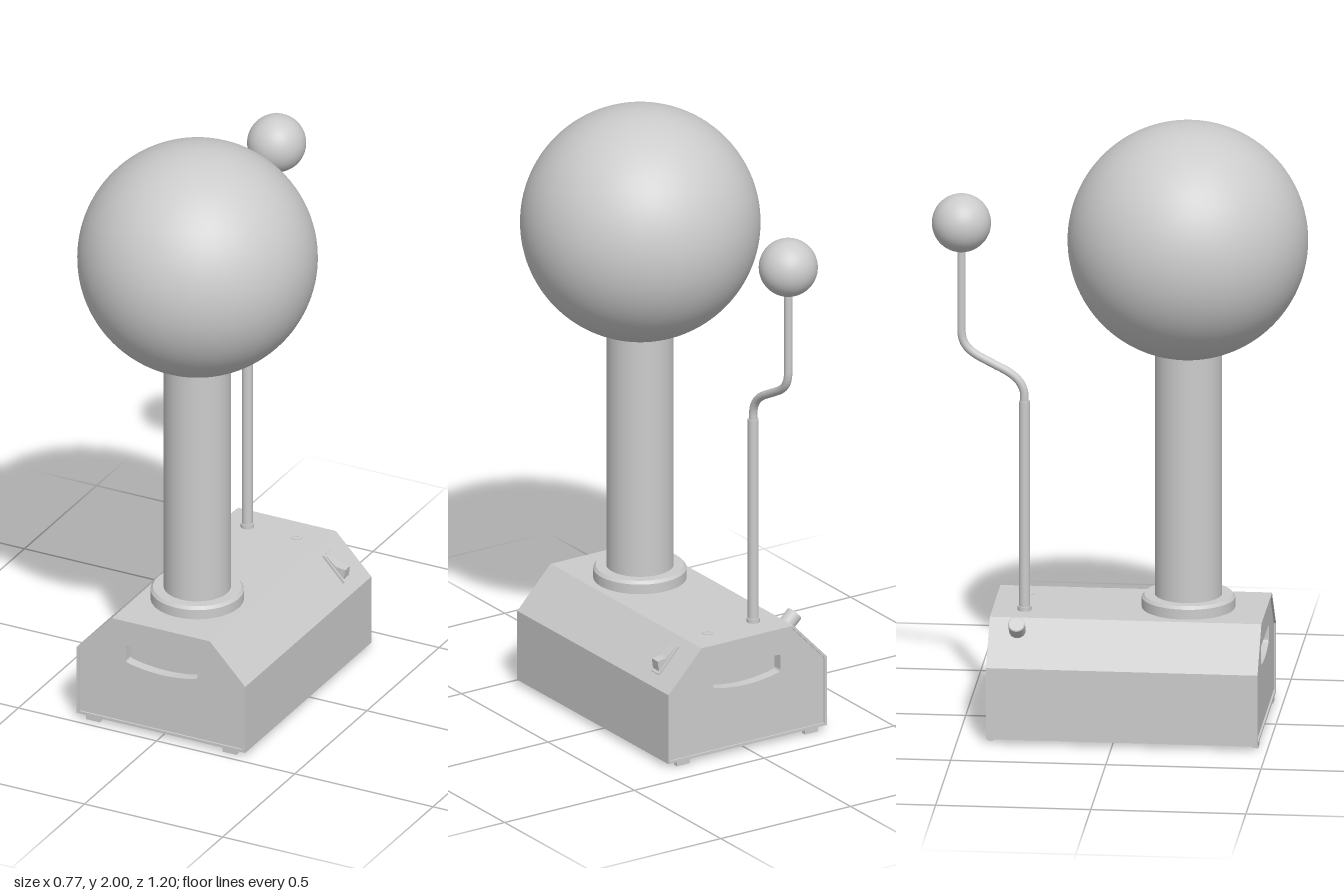
import * as THREE from 'three';

const material = new THREE.MeshStandardMaterial({ color: 0xcccccc });

function add(parent, name, geometry, x = 0, y = 0, z = 0) {
  const mesh = new THREE.Mesh(geometry, material);
  mesh.name = name;
  mesh.position.set(x, y, z);
  parent.add(mesh);
  return mesh;
}

// Chamfered housing outline, optionally inset
function housingOutline(Type, inset = 0) {
  const w = 0.305 - inset, low = 0.015 + inset, top = 0.387 - inset;
  const shoulder = 0.253 - inset * 0.4, flat = 0.177 - inset * 0.4;
  return new Type([
    [-w, low], [w, low], [w, shoulder], [flat, top], [-flat, top], [-w, shoulder],
  ].map(([x, y]) => new THREE.Vector2(x, y)));
}

// Grip opening with a bowed lower edge
function gripHole() {
  const p = new THREE.Path();
  p.moveTo(-0.122, 0.296);
  p.lineTo(0.122, 0.296);
  p.quadraticCurveTo(0.13, 0.296, 0.13, 0.288);
  p.lineTo(0.13, 0.246);
  p.quadraticCurveTo(0.13, 0.238, 0.122, 0.235);
  p.quadraticCurveTo(0, 0.207, -0.122, 0.235);
  p.quadraticCurveTo(-0.13, 0.238, -0.13, 0.246);
  p.lineTo(-0.13, 0.288);
  p.quadraticCurveTo(-0.13, 0.296, -0.122, 0.296);
  return p;
}

const extrude = (shape, depth) =>
  new THREE.ExtrudeGeometry(shape, { depth, bevelEnabled: false, curveSegments: 12 });

const lathe = (points, segments = 48) =>
  new THREE.LatheGeometry(points.map(([r, y]) => new THREE.Vector2(r, y)), segments);

function createBase() {
  const base = new THREE.Group();
  base.name = 'base';
  const back = -0.405, front = 0.47, lip = 0.006, panel = 0.035;

  // Outer shell standing slightly proud of both end panels
  const shell = housingOutline(THREE.Shape);
  shell.holes.push(housingOutline(THREE.Path, 0.009));
  add(base, 'shell', extrude(shell, front - back), 0, 0, back);

  // Solid core closes the grip pockets
  const coreDepth = front - back - 2 * (lip + panel);
  add(base, 'core', extrude(housingOutline(THREE.Shape, 0.009), coreDepth), 0, 0, back + lip + panel);

  // End panels with grip openings
  const end = housingOutline(THREE.Shape, 0.009);
  end.holes.push(gripHole());
  const endGeometry = extrude(end, panel);
  add(base, 'frontPanel', endGeometry, 0, 0, front - lip - panel);
  add(base, 'backPanel', endGeometry, 0, 0, back + lip);

  // Feet under the four corners
  for (const x of [-0.247, 0.247]) {
    for (const z of [back + 0.01, front - 0.01]) {
      add(base, 'foot', new THREE.BoxGeometry(0.05, 0.018, 0.018), x, 0.009, z);
    }
  }
  return base;
}

function createControls() {
  const controls = new THREE.Group();
  controls.name = 'controls';
  const slope = Math.atan2(0.134, 0.128);

  // Round knob square to the right-hand chamfer
  const knob = add(controls, 'knob', lathe([[0, 0.047], [0, 0.047], [0.024, 0.047], [0.024, 0.047],
    [0.027, 0.044], [0.027, 0.044], [0.027, -0.005]].reverse(), 32), -0.21, 0.353, -0.313);
  knob.rotation.z = slope;

  // Rocker switch, local x running down the left-hand chamfer
  const rocker = new THREE.Group();
  rocker.name = 'rockerSwitch';
  rocker.position.set(0.177, 0.387, -0.288);
  rocker.rotation.z = -slope;
  controls.add(rocker);
  add(rocker, 'switchFrame', new THREE.BoxGeometry(0.11, 0.012, 0.046), 0.088, 0.002, 0);
  const wedge = new THREE.Shape([[0.04, -0.003], [0.136, -0.003], [0.132, 0.01], [0.112, 0.036], [0.085, 0.014], [0.04, 0.011]]
    .map(([x, y]) => new THREE.Vector2(x, y)));
  add(rocker, 'rocker', extrude(wedge, 0.034), 0, 0, -0.017);

  // Spare socket on the top face
  add(controls, 'socket', lathe([[0.018, -0.003], [0.018, 0.002], [0.018, 0.002],
    [0.007, 0.002], [0.007, 0.002], [0.007, -0.01], [0.007, -0.01], [0, -0.01]], 32), 0.087, 0.387, -0.305);
  add(controls, 'socketPin', new THREE.CylinderGeometry(0.007, 0.007, 0.002, 24), 0.087, 0.387, -0.305);
  return controls;
}

function createDischargeWand() {
  const wand = new THREE.Group();
  wand.name = 'dischargeWand';
  wand.position.set(-0.09, 0, -0.302);

  add(wand, 'wandCollar', new THREE.CylinderGeometry(0.022, 0.022, 0.016, 32), 0, 0.393, 0);
  add(wand, 'lowerTube', new THREE.CylinderGeometry(0.0175, 0.0175, 0.7, 32), 0, 0.737, 0);

  // Cranked upper rod
  const v = (y, z) => new THREE.Vector3(0, y, z);
  const path = new THREE.CurvePath();
  path.add(new THREE.LineCurve3(v(1.06, 0), v(1.1, 0)));
  path.add(new THREE.CubicBezierCurve3(v(1.1, 0), v(1.15, 0), v(1.178, -0.035), v(1.203, -0.09)));
  path.add(new THREE.CubicBezierCurve3(v(1.203, -0.09), v(1.236, -0.15), v(1.25, -0.203), v(1.32, -0.203)));
  path.add(new THREE.LineCurve3(v(1.32, -0.203), v(1.62, -0.203)));
  add(wand, 'upperRod', new THREE.TubeGeometry(path, 100, 0.0135, 24));

  add(wand, 'smallSphere', new THREE.SphereGeometry(0.095, 48, 32), 0, 1.678, -0.203);
  return wand;
}

export function createModel() {
  const model = new THREE.Group();
  model.name = 'electrostaticGenerator';
  model.add(createBase(), createControls(), createDischargeWand());

  // Column, mounting flange and large dome
  const z = 0.218;
  add(model, 'flange', lathe([[0.15, 0.38], [0.15, 0.42], [0.15, 0.42],
    [0.142, 0.43], [0.142, 0.43], [0.1, 0.43]], 64), 0, 0, z);
  add(model, 'column', new THREE.CylinderGeometry(0.108, 0.108, 0.9, 64), 0, 0.83, z);
  add(model, 'dome', new THREE.SphereGeometry(0.386, 96, 64), 0, 1.614, 0.216);
  return model;
}
